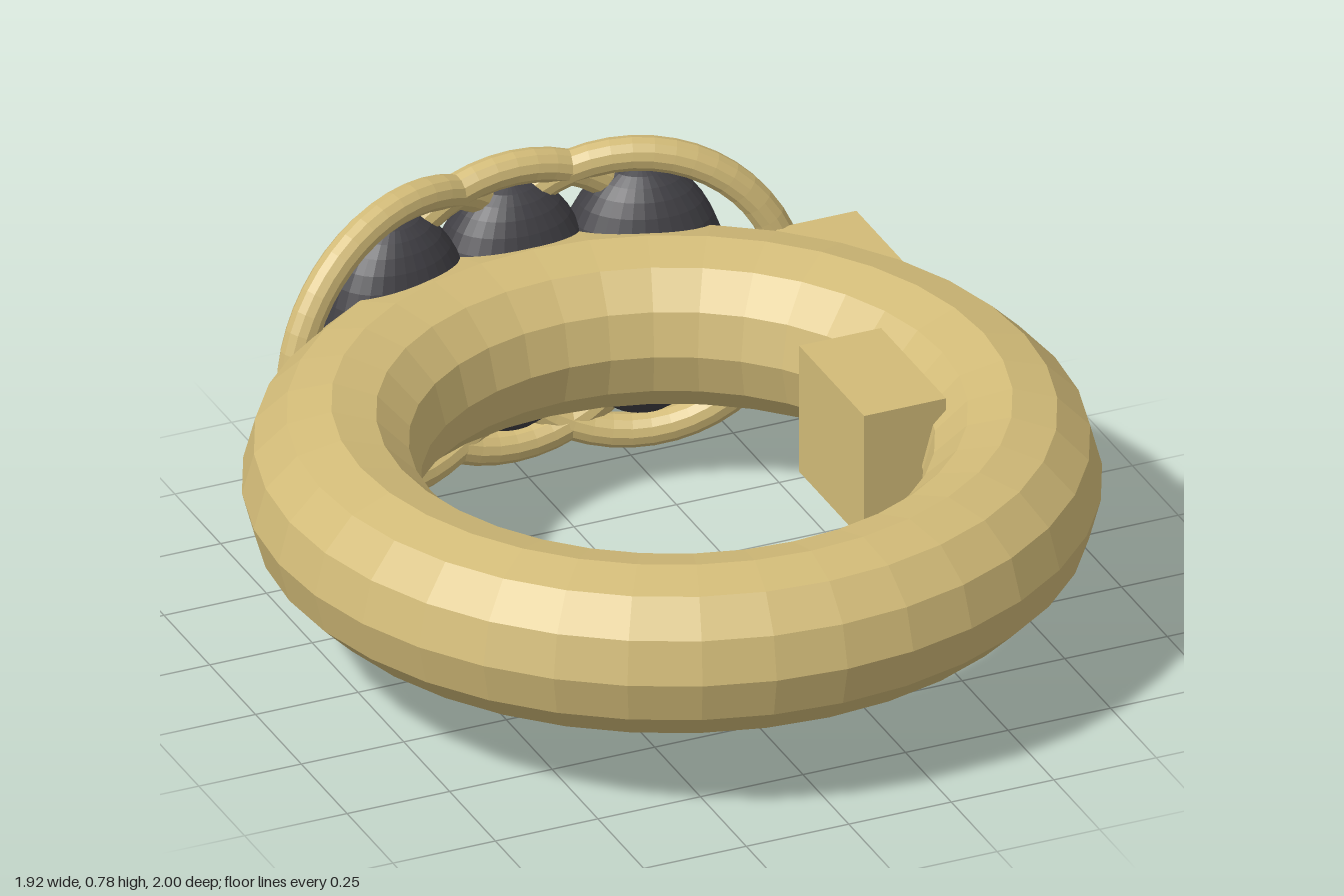
import * as THREE from 'three';

export function createModel() {
  const model = new THREE.Group();
  const gold = new THREE.MeshStandardMaterial({ color: 0xd2bb78, flatShading: true });
  gold.name = 'pale gold';
  const dark = new THREE.MeshStandardMaterial({ color: 0x403f44, flatShading: true });
  dark.name = 'charcoal stone';

  const midY = 0.4;
  const add = (name, geometry, material, x, z, parent = model) => {
    const mesh = new THREE.Mesh(geometry, material);
    mesh.name = name;
    mesh.position.set(x, midY, z);
    parent.add(mesh);
    return mesh;
  };

  // Large band lying flat
  add('band', new THREE.TorusGeometry(0.76, 0.2, 12, 36).rotateX(Math.PI / 2), gold, 0, 0.035);

  // Blocks set on the inside and outside of the band
  const block = new THREE.BoxGeometry(0.2, 0.32, 0.355);
  add('innerBlock', block, gold, 0.49, 0.033);
  add('outerBlock', block, gold, 0.66, -0.4825);

  // Small loop on the outer block
  add('hangingLoop', new THREE.TorusGeometry(0.088, 0.023, 12, 36).rotateX(Math.PI / 2), gold, 0.67, -0.73);

  // Three overlapping stones, each with its own round rim; the outer pair turn away
  const stone = new THREE.SphereGeometry(1, 32, 20).scale(0.2, 0.315, 0.148);
  const rim = new THREE.TorusGeometry(0.352, 0.04, 12, 48);
  const tilt = THREE.MathUtils.degToRad(18.5);
  const setting = new THREE.Group();
  setting.name = 'stoneSetting';
  model.add(setting);
  for (const [label, side] of [['right', -1], ['middle', 0], ['left', 1]]) {
    const outer = Math.abs(side);
    add(label + 'Stone', stone, dark, side * 0.3, -0.853 + outer * 0.045, setting).rotation.y = -side * tilt;
    add(label + 'Rim', rim, gold, side * 0.27, -0.835 + outer * 0.045, setting).rotation.y = -side * tilt;
  }
  return model;
}
